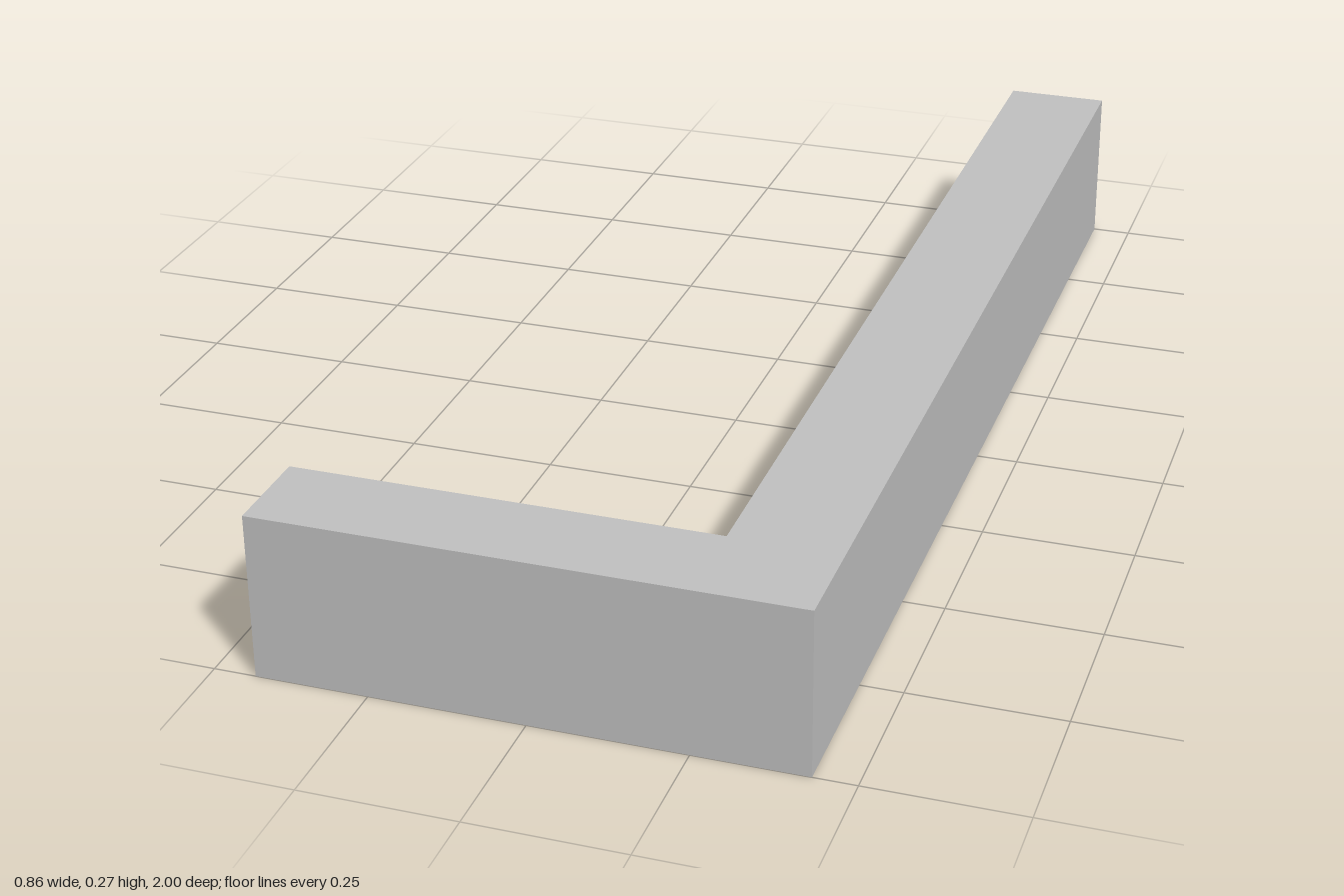
import * as THREE from 'three';

const CORNER_X = 0.255, CORNER_Z = 0.842; // inside corner of the wall
const HALF_X = 0.432, HEIGHT = 0.274;

export function createModel() {
  const group = new THREE.Group();
  const grey = new THREE.MeshStandardMaterial({ color: 0xc0c0c0 });
  grey.name = 'light grey';

  const add = (name, geometry) => {
    const mesh = new THREE.Mesh(geometry, grey);
    mesh.name = name;
    group.add(mesh);
    return mesh;
  };

  // L-shaped wall, drawn in plan (shape y = -z) and raised
  const plan = new THREE.Shape([
    [-HALF_X, -1], [HALF_X, -1], [HALF_X, 1],
    [CORNER_X, 1], [CORNER_X, -CORNER_Z], [-HALF_X, -CORNER_Z],
  ].map(([x, y]) => new THREE.Vector2(x, y)));
  const wall = new THREE.ExtrudeGeometry(plan, { depth: HEIGHT, bevelEnabled: false });
  wall.rotateX(-Math.PI / 2);
  add('cornerWall', wall);

  // Quarter-round corner table; its flat sides lie against the wall
  const quarter = (name, radius, bottom, top) => {
    const geometry = new THREE.CylinderGeometry(
      radius, radius, top - bottom, 16, 1, false, Math.PI, Math.PI / 2);
    add(name, geometry).position.set(CORNER_X, (bottom + top) / 2, CORNER_Z);
  };
  quarter('tableBase', 0.055, 0, 0.012);
  quarter('tablePost', 0.019, 0.012, 0.178);
  quarter('tableTop', 0.086, 0.178, 0.198);

  return group;
}
